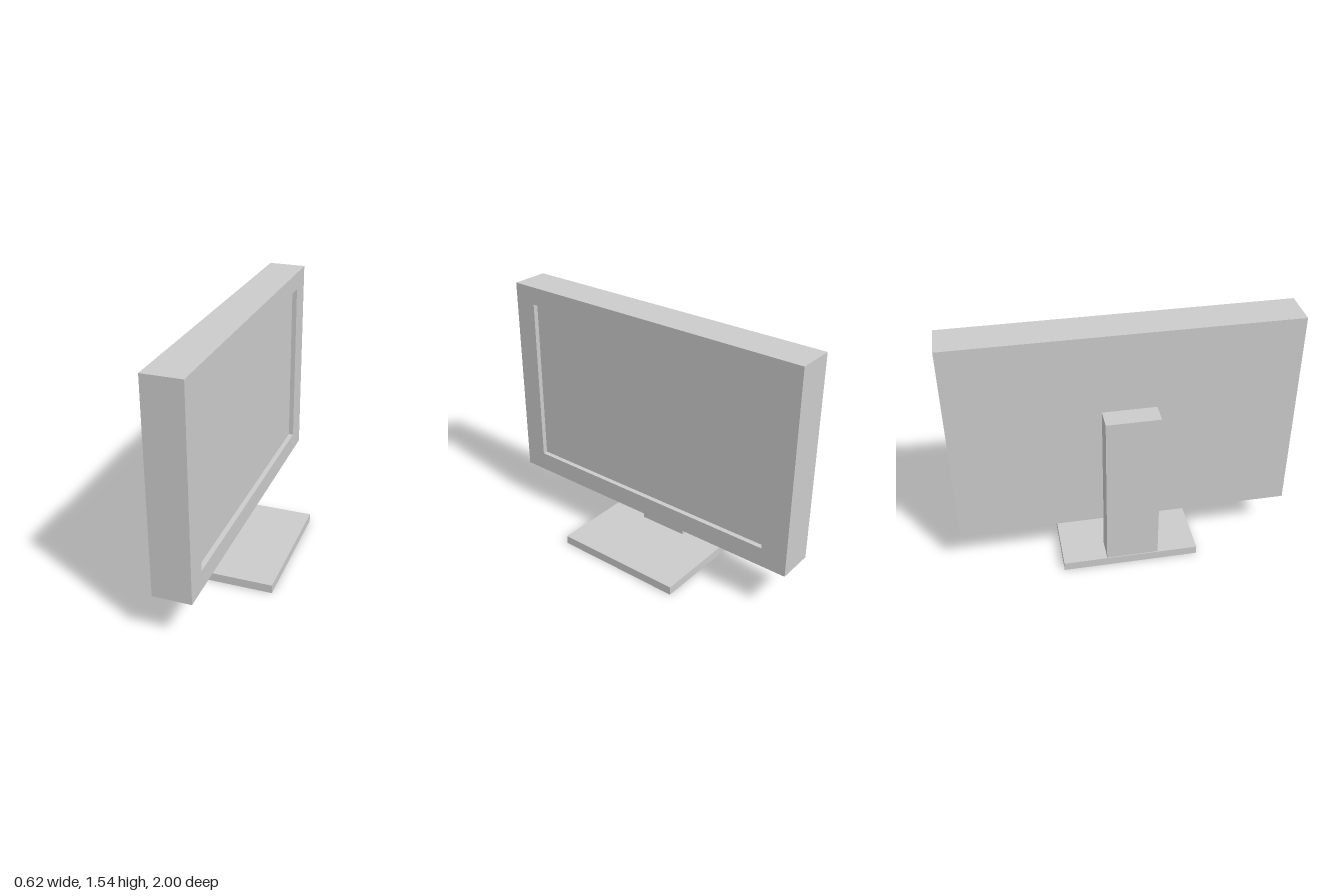
import * as THREE from 'three';

const material = new THREE.MeshStandardMaterial({ color: 0xcccccc, flatShading: true });

// Box given by its [min, max] extents on each axis
function block(name, [x0, x1], [y0, y1], [z0, z1]) {
  const geometry = new THREE.BoxGeometry(x1 - x0, y1 - y0, z1 - z0);
  geometry.translate((x0 + x1) / 2, (y0 + y1) / 2, (z0 + z1) / 2);
  const mesh = new THREE.Mesh(geometry, material);
  mesh.name = name;
  return mesh;
}

// Rectangle in the (-z, y) plane, traced onto a Shape or Path
function rectangle(path, [y0, y1], [z0, z1]) {
  path.moveTo(-z1, y0);
  path.lineTo(-z0, y0);
  path.lineTo(-z0, y1);
  path.lineTo(-z1, y1);
  path.closePath();
  return path;
}

export function createModel() {
  const group = new THREE.Group();
  group.name = 'monitor';

  const panelY = [0.27, 1.54], panelZ = [-1, 1];
  const screenX = 0.02, frontX = 0.05;

  // Stand: flat foot and upright column behind the panel
  group.add(block('base', [-0.31, 0.305], [0, 0.053], [-0.4, 0.425]));
  group.add(block('standColumn', [-0.305, -0.17], [0.053, 1.057], [-0.135, 0.18]));

  // Panel body, whose front face is the recessed screen
  group.add(block('panelBody', [-0.18, screenX], panelY, panelZ));

  // Raised frame around the screen, facing +x
  const frame = rectangle(new THREE.Shape(), panelY, panelZ);
  frame.holes.push(rectangle(new THREE.Path(), [0.39, 1.43], [-0.84, 0.86]));
  const geometry = new THREE.ExtrudeGeometry(frame, { depth: frontX - screenX, bevelEnabled: false });
  geometry.rotateY(Math.PI / 2).translate(screenX, 0, 0);
  const bezel = new THREE.Mesh(geometry, material);
  bezel.name = 'bezel';
  group.add(bezel);

  return group;
}
